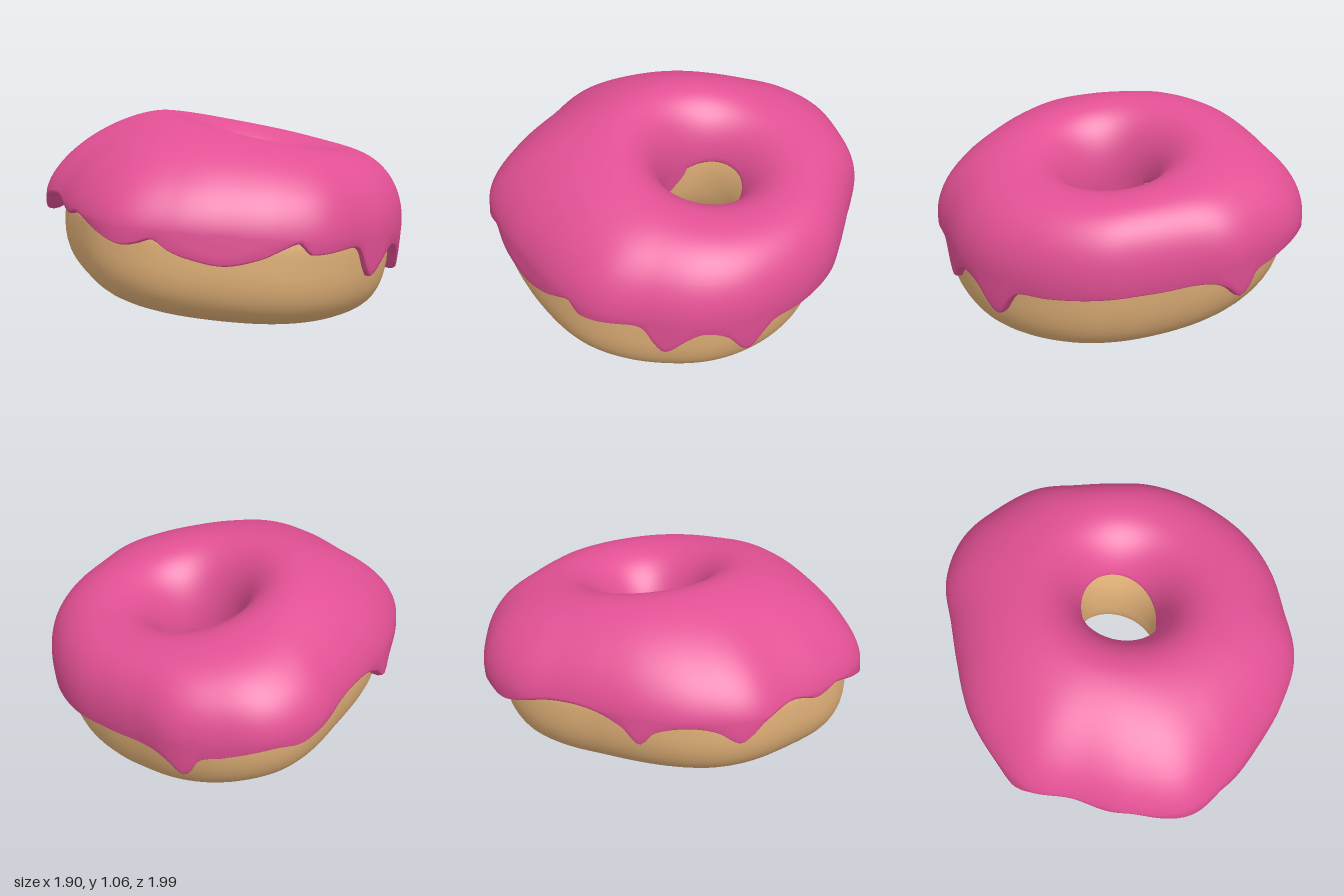
import * as THREE from 'three';

const RAD = Math.PI / 180, SEG = 288;

// Icing outline radius every 15 degrees around the hole
const outline = [.835, .85, .87, .9, .92, .935, .995, 1.005, 1.02, 1.08, 1.15, 1.11,
  1.07, 1.1, 1.04, .98, .93, .93, .99, 1, .95, .91, .835, .815].map((r, i) => [i * 15, r]);

// Height of the dripping icing edge: [angle, y]
const drips = [[0, .42], [20, .4], [31, .39], [35, .33], [39, .24], [42, .26], [48, .37], [56, .41],
  [61, .37], [67.5, .28], [71, .33], [75, .43], [79, .455], [95, .45], [97, .48], [99, .51], [103, .49],
  [110, .44], [120, .41], [130, .45], [135, .49], [139, .54], [143, .52], [147, .51], [155, .56],
  [165, .62], [172, .6], [180, .65], [186, .66], [193, .63], [197, .57], [200, .54], [206, .61],
  [214, .63], [223, .59], [228, .51], [233, .59], [243, .65], [258, .64], [270, .58], [276, .55],
  [285, .56], [300, .5], [307, .47], [310, .39], [313, .36], [317, .42], [323, .46], [340, .44]];

// Smooth periodic curve through [angle, value] keys
function curve(keys, angle) {
  const n = keys.length, a = ((angle % 360) + 360) % 360;
  const key = i => {
    const turn = Math.floor(i / n), k = keys[i - turn * n];
    return [k[0] + 360 * turn, k[1]];
  };
  let i = n - 1;
  while (keys[i][0] > a) i--;
  const [p, q, r, s] = [key(i - 1), key(i), key(i + 1), key(i + 2)];
  const h = r[0] - q[0], t = (a - q[0]) / h;
  const m0 = h * (r[1] - p[1]) / (r[0] - p[0]), m1 = h * (s[1] - q[1]) / (s[0] - q[0]);
  const t2 = t * t, t3 = t2 * t;
  return q[1] * (2 * t3 - 3 * t2 + 1) + m0 * (t3 - 2 * t2 + t) + r[1] * (3 * t2 - 2 * t3) + m1 * (t3 - t2);
}

// Tilted ring: heights of its crest, widest line and underside, and how square its shoulders are
function levels(a) {
  const c = Math.cos(a * RAD), s = Math.sin(a * RAD);
  return {
    c, s,
    top: .955 - .1 * c - .035 * s,
    mid: .55 - .08 * c - .06 * s,
    bottom: .078 - .06 * c - .06 * s + .02 * c * s,
    upper: 1.9 + .25 * c
  };
}

const power = (v, e) => Math.sign(v) * Math.abs(v) ** e;
const CREST = .51;

// Rounded cross-section point [radius, y]; phi runs outer, top, inner, bottom
function section(phi, { outer, inner, top, mid, bottom, upper, lower }) {
  const c = Math.cos(phi), s = Math.sin(phi);
  // the hole side keeps an even round
  const e = 2 / (s > 0 ? (c > 0 ? upper : 2.1) : lower);
  return [
    CREST + power(c, e) * (c > 0 ? outer - CREST : CREST - inner),
    mid + power(s, e) * (s > 0 ? top - mid : mid - bottom)
  ];
}

// Sweep a varying section around the hole; the axis leans with height
function ring(name, color, sectionAt, closed) {
  const pos = [], index = [];
  let rows = 0;
  for (let i = 0; i < SEG; i++) {
    const a = 360 * i / SEG, pts = sectionAt(a);
    rows = pts.length;
    for (const [r, y] of pts) {
      pos.push(.12 + r * Math.cos(a * RAD) + .1 * (y - .5), y, .005 + r * Math.sin(a * RAD));
    }
  }
  for (let i = 0; i < SEG; i++) {
    const A = i * rows, B = ((i + 1) % SEG) * rows;
    for (let j = 0; j < (closed ? rows : rows - 1); j++) {
      const k = (j + 1) % rows;
      index.push(A + j, A + k, B + j, B + j, A + k, B + k);
    }
  }
  const geometry = new THREE.BufferGeometry();
  geometry.setAttribute('position', new THREE.Float32BufferAttribute(pos, 3));
  geometry.setIndex(index);
  geometry.computeVertexNormals();
  const mesh = new THREE.Mesh(geometry, new THREE.MeshStandardMaterial({ color, side: THREE.DoubleSide }));
  mesh.name = name;
  return mesh;
}

// Dough: full closed section, slightly smaller and smoother than the icing
function doughSection(a) {
  const l = levels(a);
  let outer = -.09 + .05 * Math.max(0, l.s);
  for (const d of [-10, 0, 10]) outer += curve(outline, a + d) / 3;
  const shape = {
    ...l, outer, inner: .205 - .02 * l.c, top: l.top - .05, mid: l.mid - .08, lower: 2.7 + .4 * l.s
  };
  const pts = [];
  for (let j = 0; j < 56; j++) pts.push(section(j / 56 * 2 * Math.PI, shape));
  return pts;
}

// Icing: cap from the dripping outer edge over the crest into the hole
function icingSection(a) {
  const l = levels(a), { top, mid, bottom } = l, lower = 3.5;
  const edge = curve(drips, a);
  const s = edge > mid ? (edge - mid) / (top - mid) : (edge - mid) / (mid - bottom);
  const start = Math.asin(power(s, (s > 0 ? l.upper : lower) / 2));
  const shape = { ...l, outer: curve(outline, a), inner: .207, lower };
  const at = phi => section(phi, shape);
  const [r0, y0] = at(start);
  // rolled outer lip
  const pts = [[r0 - .13, y0 + .03], [r0 - .06, y0 - .008], [r0 - .03, y0 - .014], [r0 - .01, y0 - .01]];
  // the icing stops higher on the right wall of the hole
  const bend = 35 * RAD, end = (172 - 16 * Math.cos((a + 20) * RAD)) * RAD;
  for (let j = 0; j < 16; j++) pts.push(at(start + (bend - start) * j / 16));
  for (let j = 0; j <= 36; j++) pts.push(at(bend + (end - bend) * j / 36));
  // rolled lip inside the hole
  const [r1, y1] = pts[pts.length - 1];
  pts.push([r1 + .006, y1 - .012], [r1 + .05, y1 - .015]);
  return pts;
}

export function createModel() {
  const group = new THREE.Group();
  group.name = 'donut';
  group.add(ring('dough', 0xdeae76, doughSection, true));
  group.add(ring('icing', 0xe25094, icingSection, false));
  return group;
}
